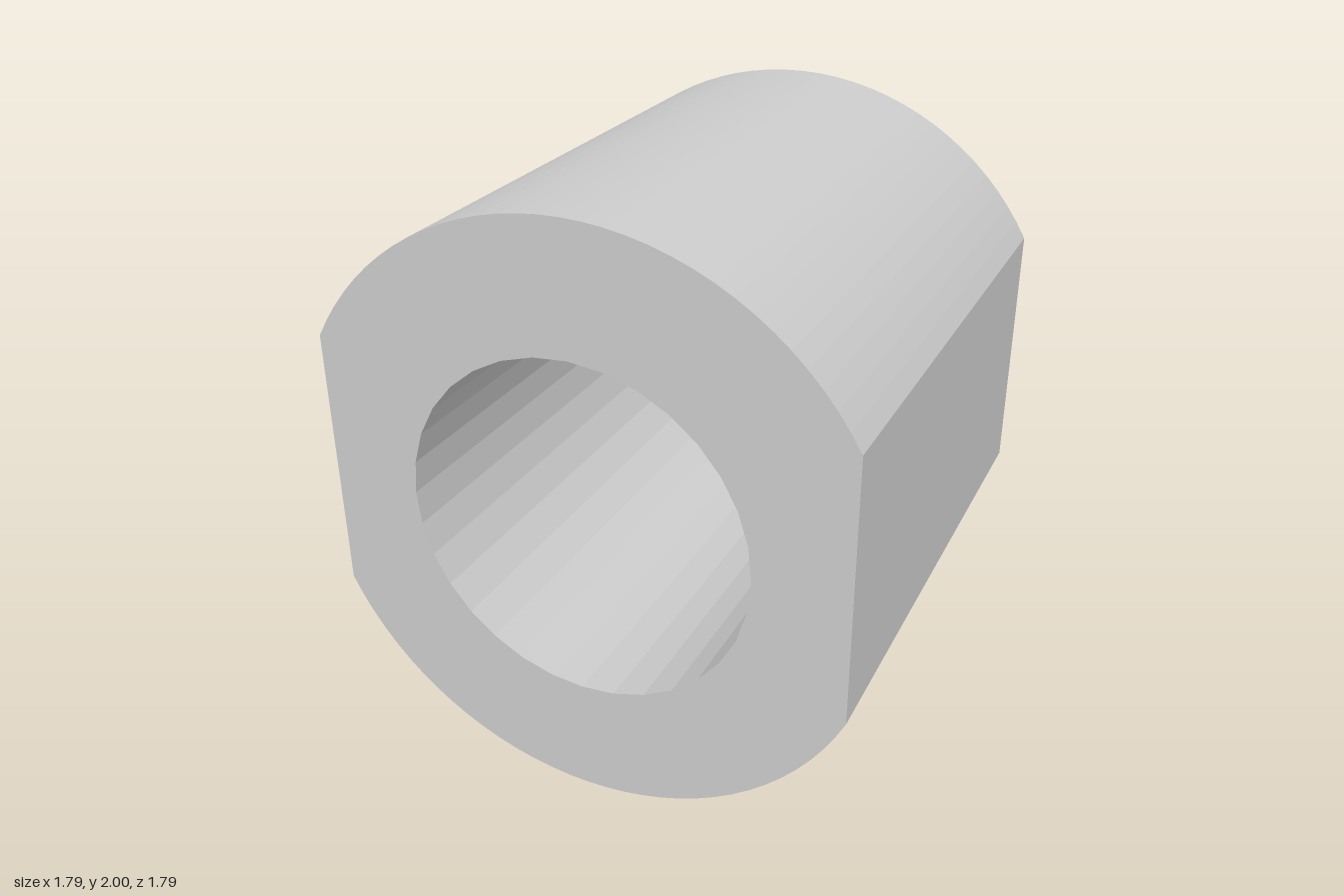
import * as THREE from 'three';

const HALF_WIDTH = 0.893, DEPTH = 1.79;

// Adds an arc around (0, cy) that meets the side flats at height yEdge
function addCap(shape, cy, yEdge, top) {
  const r = Math.hypot(HALF_WIDTH, yEdge - cy);
  const a = Math.atan2(yEdge - cy, HALF_WIDTH);
  if (top) shape.absarc(0, cy, r, a, Math.PI - a, false);
  else shape.absarc(0, cy, r, Math.PI - a, 2 * Math.PI + a, false);
}

export function createModel() {
  const group = new THREE.Group();
  group.name = 'flatSidedBushing';

  // Round outline with two flat sides
  const outline = new THREE.Shape();
  addCap(outline, 0.977, 1.478, true);
  addCap(outline, 0.981, 0.573, false);
  outline.closePath();

  // Through bore
  const bore = new THREE.Path();
  bore.absarc(-0.002, 0.986, 0.584, 0, Math.PI * 2, true);
  outline.holes.push(bore);

  const geometry = new THREE.ExtrudeGeometry(outline, {
    depth: DEPTH, bevelEnabled: false, curveSegments: 16,
  });
  geometry.translate(0, 0, -DEPTH / 2);

  const material = new THREE.MeshStandardMaterial({ color: 0xcccccc, flatShading: true });
  const sleeve = new THREE.Mesh(geometry, material);
  sleeve.name = 'sleeve';
  group.add(sleeve);
  return group;
}
